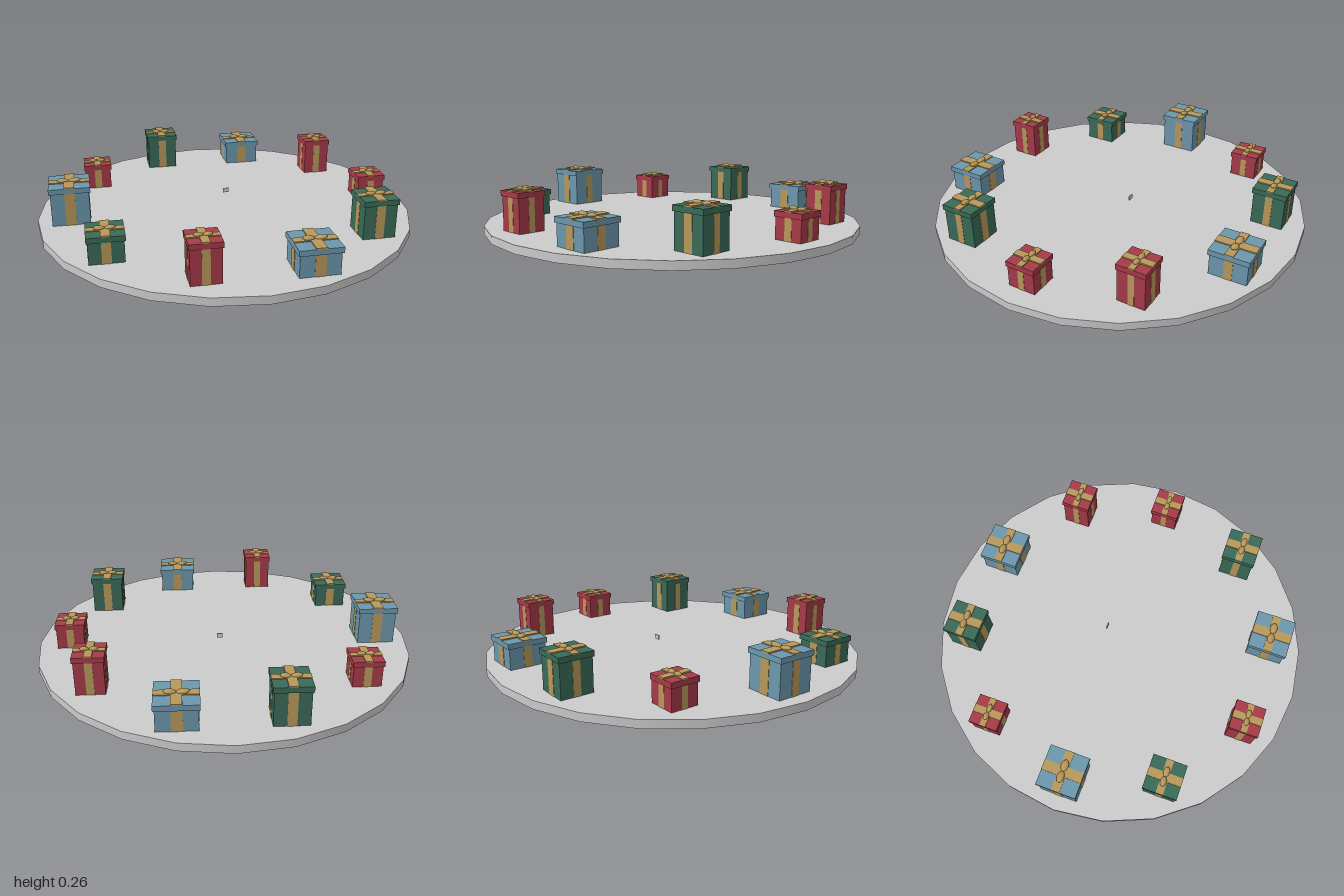
import * as THREE from 'three';

const material = (color) => new THREE.MeshStandardMaterial({ color });
const grey = material(0xcccccc);
const gold = material(0xb8985a);
const wraps = [0xa63a48, 0x3a6a58, 0x6c97ad].map(material);
const lidWidths = [0.155, 0.182, 0.21];
const BASE = 0.042;

function add(parent, name, geometry, mat, x = 0, y = 0, z = 0) {
  const mesh = new THREE.Mesh(geometry, mat);
  mesh.name = name;
  mesh.position.set(x, y, z);
  parent.add(mesh);
  return mesh;
}

// A box standing on height y
function block(parent, name, mat, w, h, d, y) {
  return add(parent, name, new THREE.BoxGeometry(w, h, d), mat, 0, y + h / 2, 0);
}

// Wrapped box with lid, crossed ribbons and a two-lobed bow
function createGift(width, height, wrap) {
  const gift = new THREE.Group();
  const lidHeight = 0.028;
  const bodyHeight = height - lidHeight;
  const body = width * 0.93;
  const wrapped = width * 0.95;
  const frontBand = width * 0.25;
  const sideBand = width * 0.21;

  block(gift, 'giftBody', wrap, body, bodyHeight, body, 0);
  block(gift, 'giftLid', wrap, width, lidHeight, width, bodyHeight);

  block(gift, 'bodyRibbonFront', gold, frontBand, bodyHeight, wrapped, 0);
  block(gift, 'bodyRibbonSide', gold, wrapped, bodyHeight, sideBand, 0);
  block(gift, 'lidRibbonFront', gold, frontBand, 0.006, width, height);
  block(gift, 'lidRibbonSide', gold, width, 0.005, sideBand, height);

  for (const side of [-1, 1]) {
    const lobe = add(gift, 'bowLobe', new THREE.SphereGeometry(1, 12, 8), gold,
      side * width * 0.14, height + 0.008, 0);
    lobe.scale.set(width * 0.145, 0.011, width * 0.09);
    lobe.rotation.z = side * 0.1;
  }
  return gift;
}

export function createModel() {
  const model = new THREE.Group();
  model.name = 'giftPlatform';

  // Round platform
  add(model, 'platform', new THREE.CylinderGeometry(1, 1, BASE, 24), grey, 0, BASE / 2, 0);

  // Ring of gifts, alternating short and tall
  for (let i = 0; i < 10; i++) {
    const angle = (i / 10) * Math.PI * 2;
    const kind = i % 3;
    const gift = createGift(lidWidths[kind], i % 2 ? 0.203 : 0.138, wraps[kind]);
    gift.name = `gift${i + 1}`;
    gift.position.set(Math.cos(angle) * 0.824, BASE, Math.sin(angle) * 0.824);
    model.add(gift);
  }

  // Small floating tag near the middle
  add(model, 'tag', new THREE.BoxGeometry(0.03, 0.024, 0.006), grey, 0.025, 0.1, -0.08);

  return model;
}
